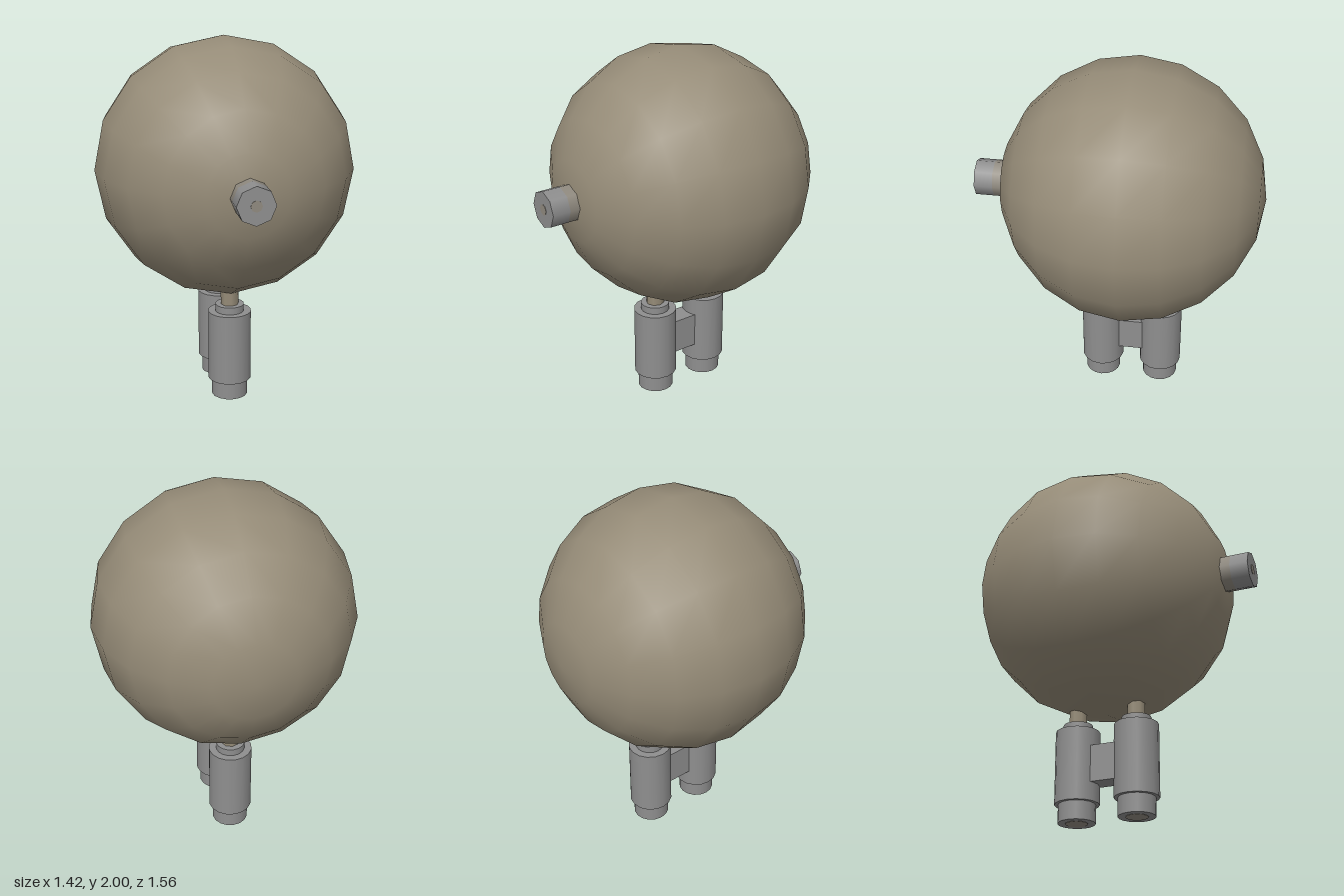
import * as THREE from 'three';

const flat = (name, color) => {
  const m = new THREE.MeshStandardMaterial({ color });
  m.name = name;
  return m;
};

export function createModel() {
  const tan = flat('tan', 0x968c78);
  const grey = flat('grey', 0x8f8f8f);
  const warmGrey = flat('warmGrey', 0x918b80);
  const model = new THREE.Group();
  model.name = 'sphereTank';

  const add = (parent, name, geometry, material, x = 0, y = 0, z = 0) => {
    const mesh = new THREE.Mesh(geometry, material);
    mesh.name = name;
    mesh.position.set(x, y, z);
    parent.add(mesh);
    return mesh;
  };
  // upright cylinder between two heights
  const post = (parent, name, radius, y0, y1, sides, material) =>
    add(parent, name, new THREE.CylinderGeometry(radius, radius, y1 - y0, sides), material, 0, (y0 + y1) / 2);

  // spherical body, poles facing front and back
  const cy = 1.29, cz = -0.07;
  add(model, 'body', new THREE.SphereGeometry(0.71, 16, 10).rotateX(Math.PI / 2), tan, 0, cy, cz);

  // front nozzle, built upright then turned to face +z
  const nozzle = new THREE.Group();
  nozzle.name = 'nozzle';
  nozzle.position.set(0, cy, 0);
  nozzle.rotation.x = Math.PI / 2;
  model.add(nozzle);
  post(nozzle, 'nozzleBase', 0.1, 0.58, 0.68, 8, warmGrey);
  post(nozzle, 'nozzleTip', 0.1, 0.68, 0.78, 8, grey);
  post(nozzle, 'nozzleCentre', 0.03, 0.778, 0.782, 8, warmGrey);

  // two stepped legs, one behind the other
  for (const [name, z] of [['frontLeg', 0.1], ['backLeg', -0.24]]) {
    const leg = new THREE.Group();
    leg.name = name;
    leg.position.z = z;
    model.add(leg);
    post(leg, 'foot', 0.1, 0, 0.11, 16, grey);
    post(leg, 'footCentre', 0.06, -0.002, 0.002, 16, warmGrey);
    post(leg, 'sleeve', 0.12, 0.1, 0.5, 16, grey);
    post(leg, 'collar', 0.08, 0.49, 0.54, 16, grey);
    post(leg, 'stem', 0.05, 0.53, 0.66, 8, tan);
  }

  // block joining the legs
  add(model, 'legBridge', new THREE.BoxGeometry(0.12, 0.2, 0.18), grey, 0, 0.3, cz);
  return model;
}
